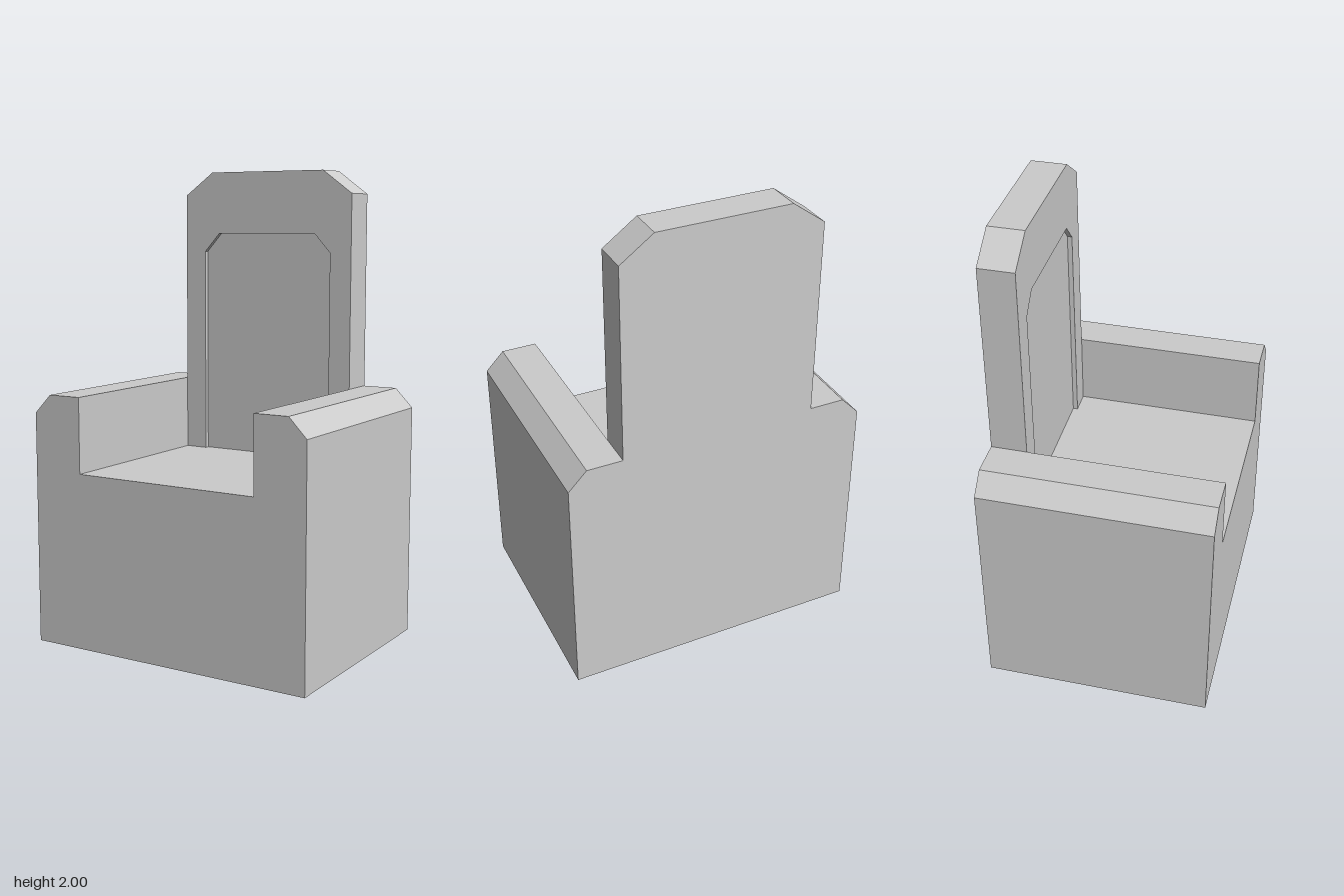
import * as THREE from 'three';

const material = new THREE.MeshStandardMaterial({ color: 0xcccccc, flatShading: true });

// Completes a right-half profile (listed from bottom to top) with its mirror image
const mirrored = (half) => [...half, ...half.map(([x, y]) => [-x, y]).reverse()];

// Extrudes an outline in x, y from z0 to z1
function slab(name, points, z0, z1) {
  const shape = new THREE.Shape(points.map(([x, y]) => new THREE.Vector2(x, y)));
  const geometry = new THREE.ExtrudeGeometry(shape, { depth: z1 - z0, bevelEnabled: false });
  geometry.translate(0, 0, z0);
  const mesh = new THREE.Mesh(geometry, material);
  mesh.name = name;
  return mesh;
}

export function createModel() {
  const group = new THREE.Group();
  group.name = 'armchair';

  const back = -0.48, front = 0.48, backrestFront = -0.33, recess = 0.02;
  const seatY = 0.75, innerX = 0.415;

  // Solid base with chamfered armrests either side of the seat
  const base = mirrored([
    [0.643, 0], [0.643, 0.99], [0.565, 1.07], [innerX, 1.07], [innerX, seatY],
  ]);
  group.add(slab('seatAndArmrests', base, back, front));

  // Tall backrest with clipped top corners
  const outer = mirrored([[innerX, seatY], [innerX, 1.9], [0.277, 2]]);
  group.add(slab('backrest', outer, back, backrestFront - recess));

  // Raised border that leaves a shallow recessed panel, open down to the seat
  const inner = mirrored([[0.315, seatY], [0.315, 1.65], [0.242, 1.73]]);
  group.add(slab('backrestBorder', [...outer, ...inner.reverse()], backrestFront - recess, backrestFront));

  return group;
}
